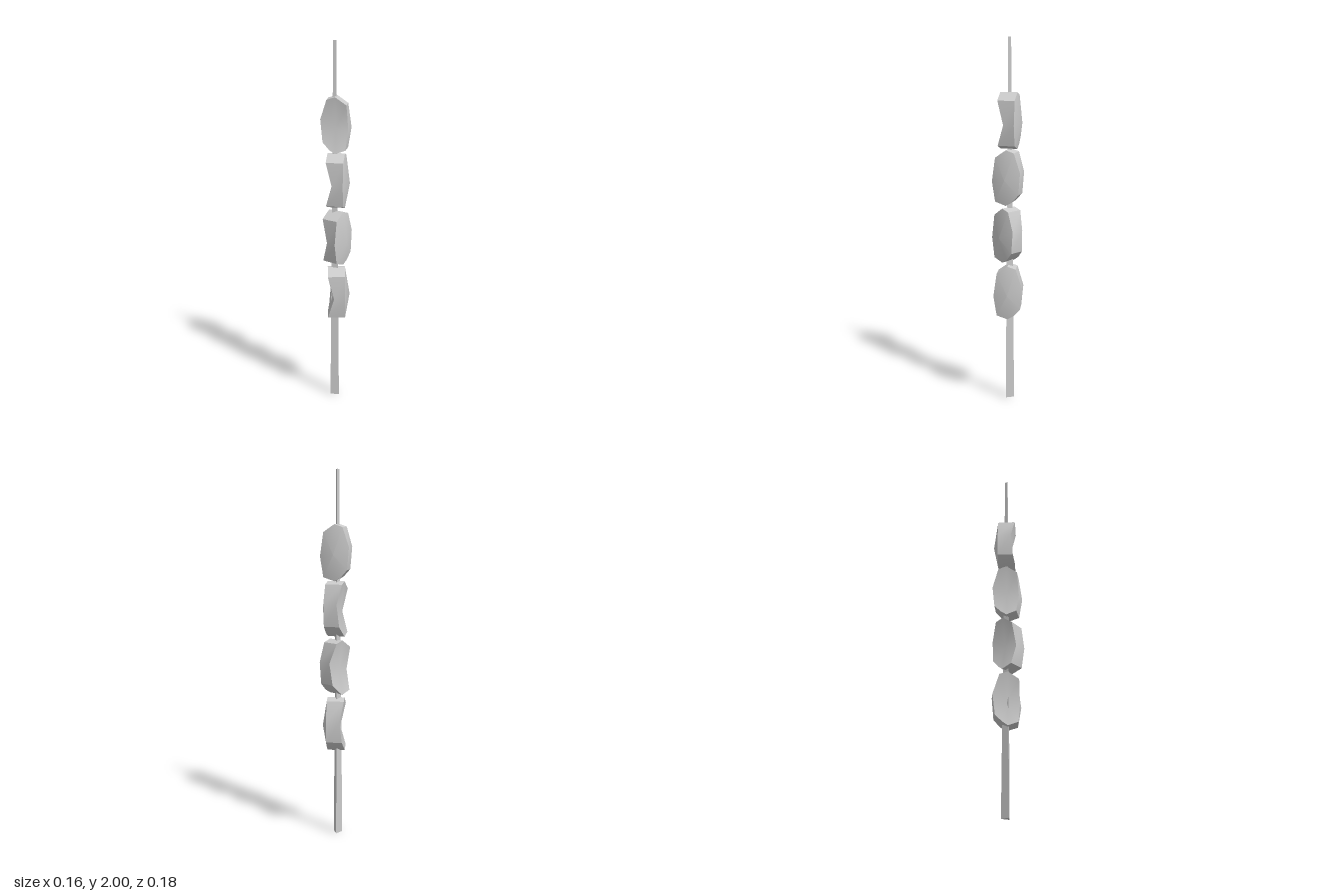
import * as THREE from 'three';
import { toCreasedNormals } from 'three/addons/utils/BufferGeometryUtils.js';

// One chunk: a slab with a dented front, a peaked back and an irregular outline.
function chunkGeometry() {
  // x, y, front x, front z; counter-clockwise seen from the front
  const outline = [
    [-0.045, 0.135, -0.045, 0.045],
    [-0.08, 0.03, -0.08, 0.025],
    [-0.07, -0.09, -0.067, 0.036],
    [-0.035, -0.13, -0.03, 0.045],
    [0.0, -0.15, 0.0, 0.045],
    [0.06, -0.13, 0.055, 0.045],
    [0.078, -0.02, 0.066, 0.012],
    [0.06, 0.108, 0.06, 0.045],
    [0.0, 0.15, 0.0, 0.045],
  ];
  const n = outline.length;
  const positions = [];
  for (const [, y, fx, fz] of outline) positions.push(fx, y, fz);
  for (const [x, y] of outline) positions.push(x, y, -0.049);
  positions.push(0, -0.02, 0.02); // front dent
  positions.push(0, -0.01, -0.076); // back peak

  const index = [];
  for (let i = 0; i < n; i++) {
    const j = (i + 1) % n;
    index.push(2 * n, i, j); // front
    index.push(2 * n + 1, n + j, n + i); // back
    index.push(i, n + i, n + j, i, n + j, j); // rim
  }
  const geometry = new THREE.BufferGeometry();
  geometry.setAttribute('position', new THREE.Float32BufferAttribute(positions, 3));
  geometry.setIndex(index);
  return toCreasedNormals(geometry, 0.6);
}

export function createModel() {
  const model = new THREE.Group();
  model.name = 'skewer';
  const material = new THREE.MeshStandardMaterial({ color: 0xcccccc });

  // Tapered three-sided stick
  const stickGeometry = new THREE.CylinderGeometry(0.0095, 0.028, 2, 3).toNonIndexed();
  stickGeometry.computeVertexNormals();
  const stick = new THREE.Mesh(stickGeometry, material);
  stick.name = 'stick';
  stick.position.set(-0.006, 1, -0.003);
  stick.rotation.y = Math.PI;
  model.add(stick);

  // Four chunks threaded on the stick, each turned differently
  const geometry = chunkGeometry();
  const chunks = [[1.565, 0], [1.262, -93], [0.945, -120], [0.625, -82]];
  chunks.forEach(([y, degrees], i) => {
    const chunk = new THREE.Mesh(geometry, material);
    chunk.name = `chunk${i + 1}`;
    chunk.position.y = y;
    chunk.rotation.y = THREE.MathUtils.degToRad(degrees);
    model.add(chunk);
  });
  return model;
}
